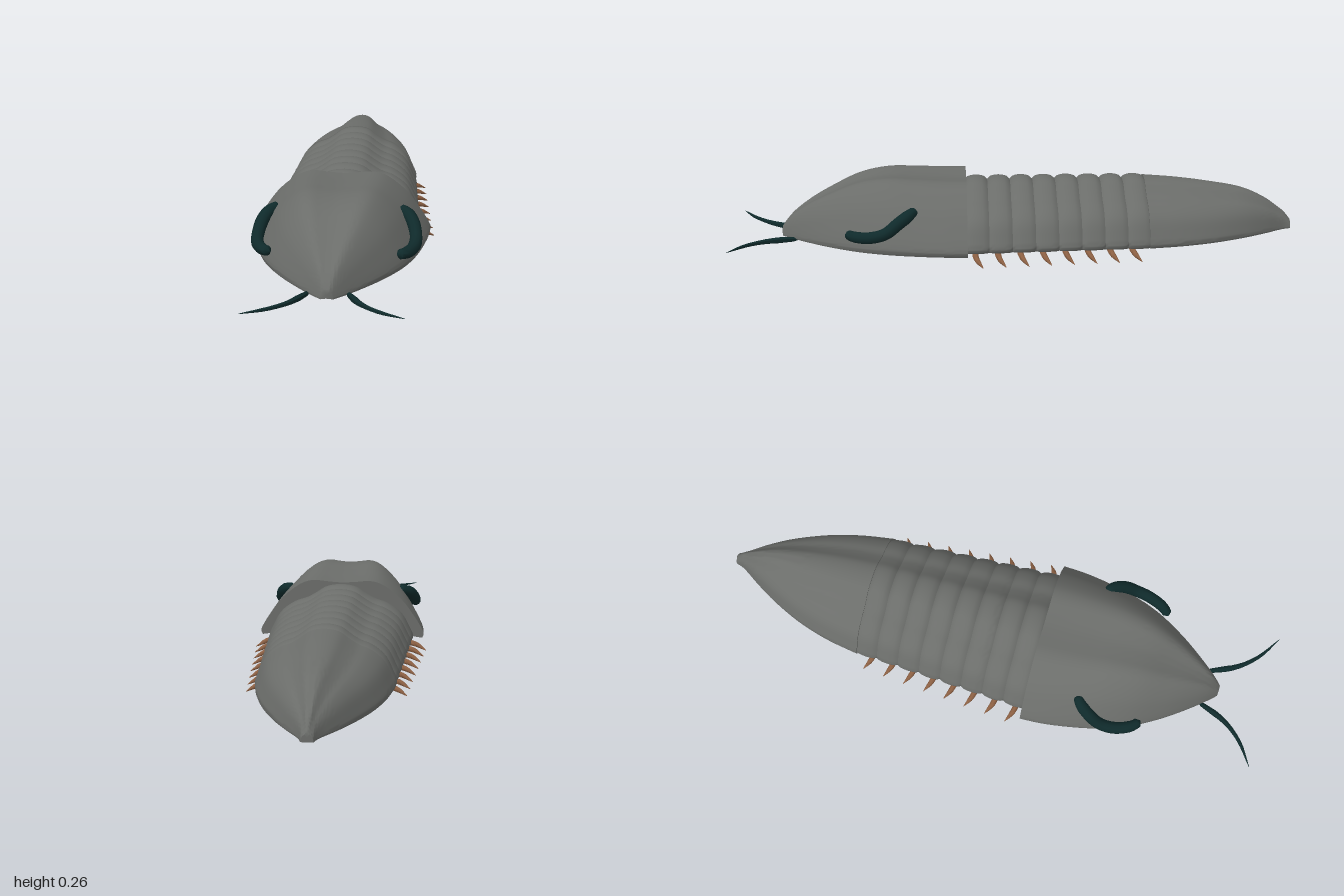
import * as THREE from 'three';
import { toCreasedNormals } from 'three/addons/utils/BufferGeometryUtils.js';

const BASE = 0.035; // height of the shell's lower rim

// Half cross-sections from rim to crown: fraction of half width, fraction of height
const HEAD = [[0.98, 0], [1, 0.07], [0.97, 0.18], [0.88, 0.39], [0.72, 0.69], [0.48, 0.95], [0.34, 1], [0.17, 0.98], [0, 0.965]];
const LOBED = [[0.98, 0], [1, 0.06], [0.95, 0.22], [0.83, 0.49], [0.64, 0.67], [0.47, 0.75], [0.35, 0.84], [0.2, 0.96], [0, 1]];

// Closed ring of normalised points: over the back, then across the floor
function makeRing(half) {
  const all = [...half, ...half.slice(0, -1).reverse().map(([x, y]) => [-x, y])];
  const curve = new THREE.CatmullRomCurve3(all.map(([x, y]) => new THREE.Vector3(x, y, 0)));
  const pts = curve.getPoints(56).map(p => [p.x, Math.max(p.y, 0), 0]);
  for (let k = 1; k < 10; k++) {
    const t = k / 10;
    pts.push([(2 * t - 1) * 0.98, 0, Math.sin(Math.PI * t)]);
  }
  return pts;
}

// Skin over sections of {w, h, z}, running from back to front, with end caps
function loft(ring, sections, arch = 0) {
  const pos = [], index = [], n = ring.length;
  for (const { w, h, z } of sections)
    for (const [x, y, a] of ring) pos.push(x * w, BASE + y * (h - BASE) + a * arch * Math.min(1, w * 4), z);
  for (let i = 0; i < sections.length - 1; i++)
    for (let j = 0; j < n; j++) {
      const k = (j + 1) % n, a = i * n + j, b = i * n + k;
      index.push(a, b, a + n, b, b + n, a + n);
    }
  const caps = [[sections[0], 0], [sections[sections.length - 1], (sections.length - 1) * n]];
  caps.forEach(([s, start], front) => {
    const c = pos.length / 3;
    pos.push(0, (BASE + s.h) / 2, s.z);
    for (let j = 0; j < n; j++) {
      const a = start + j, b = start + (j + 1) % n;
      index.push(c, front ? a : b, front ? b : a);
    }
  });
  const g = new THREE.BufferGeometry();
  g.setAttribute('position', new THREE.Float32BufferAttribute(pos, 3));
  g.setIndex(index);
  return toCreasedNormals(g, 0.8);
}

// Smooth interpolation of rows [z, half width, top height]
function smoothSections(rows, count) {
  return new THREE.CatmullRomCurve3(rows.map(([z, w, h]) => new THREE.Vector3(w, h, z)))
    .getPoints(count).map(p => ({ w: p.x, h: p.y, z: p.z }));
}

// Round limb along points [x, y, z, radius] with closed ends
function limb(points, sides, steps) {
  const curve = new THREE.CatmullRomCurve3(points.map(p => new THREE.Vector3(p[0], p[1], p[2])), false, 'centripetal');
  const g = new THREE.TubeGeometry(curve, steps, 1, sides);
  const pos = g.attributes.position, v = new THREE.Vector3(), c = new THREE.Vector3();
  for (let i = 0; i <= steps; i++) {
    const u = i / steps;
    curve.getPointAt(u, c);
    const f = u * (points.length - 1), k = Math.min(Math.floor(f), points.length - 2);
    const r = (i === 0 || i === steps) ? 0.0005 : THREE.MathUtils.lerp(points[k][3], points[k + 1][3], f - k);
    for (let j = 0; j <= sides; j++) {
      const q = i * (sides + 1) + j;
      v.fromBufferAttribute(pos, q).sub(c).multiplyScalar(r).add(c);
      pos.setXYZ(q, v.x, v.y, v.z);
    }
  }
  g.deleteAttribute('normal');
  return toCreasedNormals(g, 0.9);
}

export function createModel() {
  const model = new THREE.Group();
  const material = (name, color) => Object.assign(new THREE.MeshStandardMaterial({ color }), { name });
  const shell = material('shell grey', 0x6b6d6a);
  const dark = material('dark teal', 0x0f2a2b);
  const brown = material('leg brown', 0x8c6043);
  const add = (name, geometry, mat) => {
    const mesh = new THREE.Mesh(geometry, mat);
    mesh.name = name;
    model.add(mesh);
    return mesh;
  };

  const lobed = makeRing(LOBED);

  // Head shield
  add('headShield', loft(makeRing(HEAD), smoothSections([
    [0.175, 0.304, 0.247], [0.25, 0.3, 0.249], [0.35, 0.285, 0.254], [0.45, 0.262, 0.258], [0.55, 0.225, 0.242],
    [0.65, 0.168, 0.2], [0.73, 0.11, 0.158], [0.79, 0.06, 0.115], [0.82, 0.032, 0.082], [0.832, 0.02, 0.065],
  ], 48), 0.03), shell);

  // Ribbed middle body: eight rounded segments with grooves between
  const rows = [], segments = 8, perSegment = 8;
  for (let i = 0; i <= segments * perSegment; i++) {
    const t = i / (segments * perSegment);
    const bulge = Math.pow(Math.abs(Math.sin(Math.PI * i / perSegment)), 0.5);
    rows.push({
      z: THREE.MathUtils.lerp(-0.465, 0.18, t),
      w: THREE.MathUtils.lerp(0.233, 0.268, t) * (0.965 + 0.035 * bulge),
      h: 0.224 + 0.016 * bulge,
    });
  }
  add('ribbedBody', loft(lobed, rows), shell);

  // Tail shield tapering to a blunt tip
  add('tailShield', loft(lobed, smoothSections([
    [-1, 0.02, 0.065], [-0.975, 0.028, 0.095], [-0.95, 0.042, 0.115], [-0.9, 0.075, 0.15], [-0.82, 0.122, 0.186],
    [-0.7, 0.177, 0.209], [-0.58, 0.213, 0.225], [-0.46, 0.234, 0.235],
  ], 40)), shell);

  // Paired parts
  for (const [side, s] of [['left', 1], ['right', -1]]) {
    const flip = pts => pts.map(([x, y, z, r]) => [x * s, y, z, r]);

    // Curved eye ridge
    add(side + 'Eye', limb(flip([
      [0.205, 0.097, 0.59, 0.016], [0.232, 0.095, 0.565, 0.02], [0.256, 0.097, 0.51, 0.021], [0.261, 0.112, 0.455, 0.021],
      [0.25, 0.145, 0.41, 0.022], [0.226, 0.168, 0.372, 0.022], [0.2, 0.178, 0.352, 0.015],
    ]), 10, 24), dark);

    // Antenna
    add(side + 'Antenna', limb(flip([
      [0.058, 0.033, 0.765, 0.007], [0.075, 0.037, 0.81, 0.011], [0.108, 0.042, 0.88, 0.008],
      [0.165, 0.046, 0.945, 0.006], [0.248, 0.049, 1, 0.001],
    ]), 6, 12), dark);

    // Legs: blunt pegs that bend down and back to a point
    for (let i = 0; i < segments; i++) {
      const z = 0.148 - i * 0.0785, out = -0.0065 * i;
      add(side + 'Leg' + (i + 1), limb(flip([
        [0.212 + out, 0.024, z, 0.010], [0.25 + out, 0.024, z, 0.011],
        [0.28 + out, 0.018, z - 0.006, 0.009], [0.316 + out, 0.001, z - 0.026, 0.001],
      ]), 8, 10), brown);
    }
  }
  return model;
}
